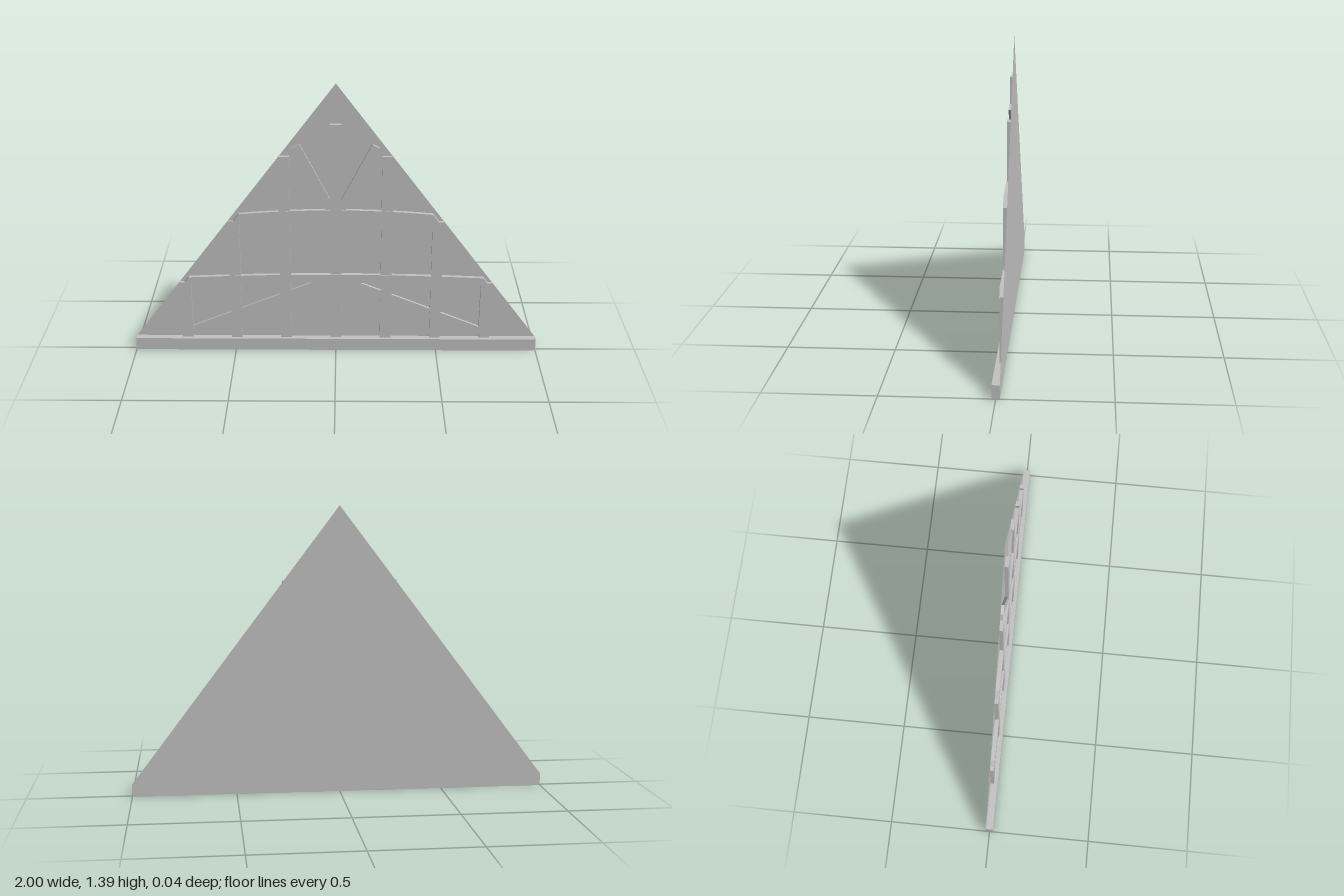
import * as THREE from 'three';

export function createModel() {
  const group = new THREE.Group();
  const grey = new THREE.MeshStandardMaterial({ color: 0xc2c2c2 });
  const greySheet = new THREE.MeshStandardMaterial({ color: 0xc2c2c2, side: THREE.DoubleSide });
  greySheet.name = 'grey sheet';
  grey.name = 'grey timber';

  const BACK = -0.0175; // plane of the wall sheet
  const BASE_TOP = 0.06;

  const add = (name, geometry, material = grey) => {
    const mesh = new THREE.Mesh(geometry, material);
    mesh.name = name;
    group.add(mesh);
    return mesh;
  };
  const outline = (points) => new THREE.Shape(points.map(([x, y]) => new THREE.Vector2(x, y)));

  // Slab from an outline, reaching from the wall sheet forward to z = front
  const slab = (name, points, front) => {
    const geometry = new THREE.ExtrudeGeometry(outline(points), { depth: front - BACK, bevelEnabled: false });
    return add(name, geometry.translate(0, 0, BACK));
  };

  // Straight timber between two points
  const brace = (name, [x0, y0], [x1, y1], width, front) => {
    const length = Math.hypot(x1 - x0, y1 - y0);
    const mesh = add(name, new THREE.BoxGeometry(length, width, front - BACK));
    mesh.position.set((x0 + x1) / 2, (y0 + y1) / 2, (front + BACK) / 2);
    mesh.rotation.z = Math.atan2(y1 - y0, x1 - x0);
  };

  // Gable wall sheet and sill beam
  add('gableWall', new THREE.ShapeGeometry(outline([[-1, BASE_TOP], [1, BASE_TOP], [0, 1.386]])), greySheet)
    .position.z = BACK;
  add('sillBeam', new THREE.BoxGeometry(2, BASE_TOP + 0.003, 0.035)).position.y = (BASE_TOP + 0.003) / 2;

  // Upright posts
  const post = (x, top) => brace('post', [x, BASE_TOP], [x, top], 0.054, 0);
  post(0, 1.19);
  for (const side of [-1, 1]) {
    post(side * 0.247, 1.03);
    post(side * 0.494, 0.695);
    post(side * 0.741, 0.367);
  }

  // Slightly arched cross rails with ends cut along the roof slope
  const rail = (name, topX, topEnd, topMid, bottomX, bottomEnd, bottomMid) => {
    const points = [];
    const steps = 8;
    const arch = (t, x, end, mid) => points.push([t * x, mid - (mid - end) * t * t]);
    for (let i = 0; i <= steps; i++) arch(-1 + (2 * i) / steps, bottomX, bottomEnd, bottomMid);
    for (let i = 0; i <= steps; i++) arch(1 - (2 * i) / steps, topX, topEnd, topMid);
    slab(name, points, 0.002);
  };
  rail('upperRail', 0.468, 0.735, 0.757, 0.508, 0.678, 0.701);
  rail('lowerRail', 0.724, 0.396, 0.413, 0.756, 0.352, 0.37);

  // Diagonal braces, set back behind the posts
  for (const side of [-1, 1]) {
    brace('upperBrace', [side * 0.01, 0.73], [side * 0.19, 1.081], 0.042, -0.004);
    brace('lowerBrace', [side * 0.735, 0.087], [side * 0.01, 0.383], 0.05, -0.004);
  }
  return group;
}
